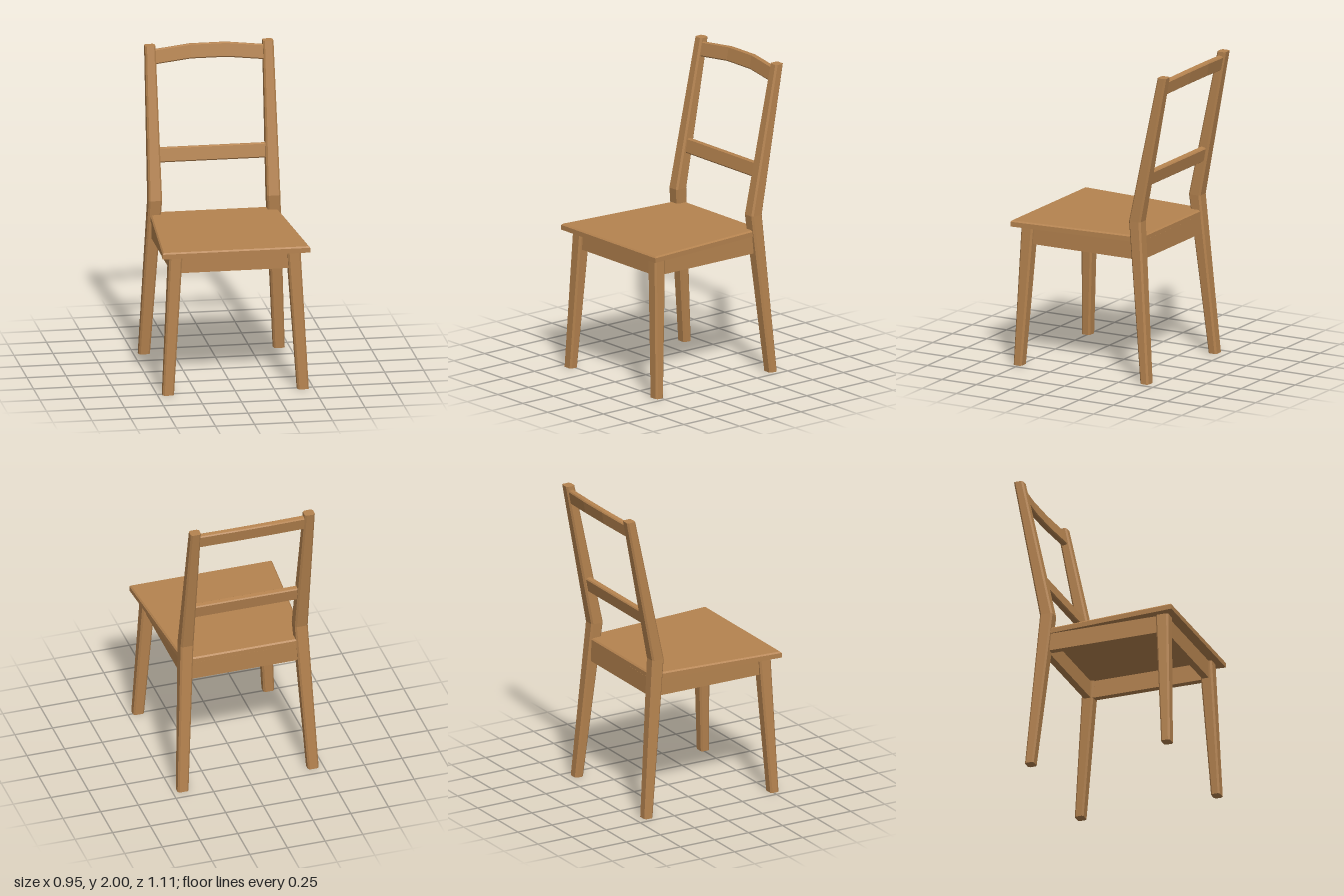
import * as THREE from 'three';

const wood = new THREE.MeshStandardMaterial({ color: 0xb5834f, flatShading: true });
const V = (x, y, z) => new THREE.Vector3(x, y, z);

// Joins rings of points (counter-clockwise about the path) and caps both ends
function loft(name, rings) {
  const pos = [];
  const tri = (...pts) => pts.forEach((p) => pos.push(p.x, p.y, p.z));
  const n = rings[0].length;
  for (let k = 0; k < rings.length - 1; k++) {
    const r0 = rings[k], r1 = rings[k + 1];
    for (let i = 0; i < n; i++) {
      const j = (i + 1) % n;
      tri(r0[i], r0[j], r1[j]);
      tri(r0[i], r1[j], r1[i]);
    }
  }
  const first = rings[0], last = rings[rings.length - 1];
  for (let i = 1; i < n - 1; i++) {
    tri(first[0], first[i + 1], first[i]);
    tri(last[0], last[i], last[i + 1]);
  }
  const geo = new THREE.BufferGeometry();
  geo.setAttribute('position', new THREE.Float32BufferAttribute(pos, 3));
  geo.computeVertexNormals();
  const mesh = new THREE.Mesh(geo, wood);
  mesh.name = name;
  return mesh;
}

// Rectangle with chamfered corners, half sizes a along u and b along v
function chamferedRing(center, u, v, a, b, c) {
  return [[a, -b + c], [a, b - c], [a - c, b], [-a + c, b],
    [-a, b - c], [-a, -b + c], [-a + c, -b], [a - c, -b]]
    .map(([s, t]) => center.clone().addScaledVector(u, s).addScaledVector(v, t));
}

// Leg from stations [x, y, z, width, depth]; side mirrors it
function leg(name, side, stations) {
  return loft(name, stations.map(([x, y, z, w, d]) =>
    chamferedRing(V(side * x, y, z), V(0, 0, 1), V(1, 0, 0), d / 2, w / 2, 0.011)));
}

// Leaning back rail through the given centres, running from -x to +x
function rail(name, centers, height, thickness) {
  const lean = 0.19;
  const up = V(0, Math.cos(lean), -Math.sin(lean));
  const out = V(0, Math.sin(lean), Math.cos(lean));
  return loft(name, centers.map((c) =>
    chamferedRing(V(...c), up, out, height / 2, thickness / 2, 0.007)));
}

function board(name, w, h, d, x, y, z) {
  const mesh = new THREE.Mesh(new THREE.BoxGeometry(w, h, d), wood);
  mesh.name = name;
  mesh.position.set(x, y, z);
  return mesh;
}

export function createModel() {
  const chair = new THREE.Group();
  chair.name = 'chair';

  // Tapered, splayed legs; the back pair bends and rises into the backrest
  for (const [side, label] of [[1, 'left'], [-1, 'right']]) {
    chair.add(leg(label + 'FrontLeg', side, [
      [0.432, 0, 0.51, 0.072, 0.06],
      [0.378, 0.91, 0.467, 0.084, 0.085],
    ]));
    chair.add(leg(label + 'BackPost', side, [
      [0.432, 0, -0.415, 0.072, 0.06],
      [0.379, 1.04, -0.318, 0.086, 0.085],
      [0.378, 2, -0.51, 0.067, 0.062],
    ]));
    chair.add(board(label + 'Apron', 0.045, 0.12, 0.75, side * 0.38, 0.85, 0.07));
  }

  // Front and back aprons under the seat
  chair.add(board('frontApron', 0.72, 0.12, 0.045, 0, 0.85, 0.467));
  chair.add(board('backApron', 0.72, 0.12, 0.045, 0, 0.85, -0.338));

  // Tapered seat with a chamfered top edge
  const seatRing = (y, inset) => [
    V(-0.473 + inset, y, 0.555 - inset), V(0.473 - inset, y, 0.555 - inset),
    V(0.405 - inset, y, -0.36 + inset), V(-0.405 + inset, y, -0.36 + inset)];
  chair.add(loft('seat', [seatRing(0.905, 0), seatRing(0.936, 0), seatRing(0.945, 0.009)]));

  // Straight middle rail and bowed top rail
  chair.add(rail('middleRail', [[-0.37, 1.315, -0.375], [0.37, 1.315, -0.375]], 0.095, 0.04));
  chair.add(rail('topRail', [
    [-0.37, 1.925, -0.496], [-0.115, 1.945, -0.528],
    [0.115, 1.945, -0.528], [0.37, 1.925, -0.496],
  ], 0.095, 0.038));

  return chair;
}
